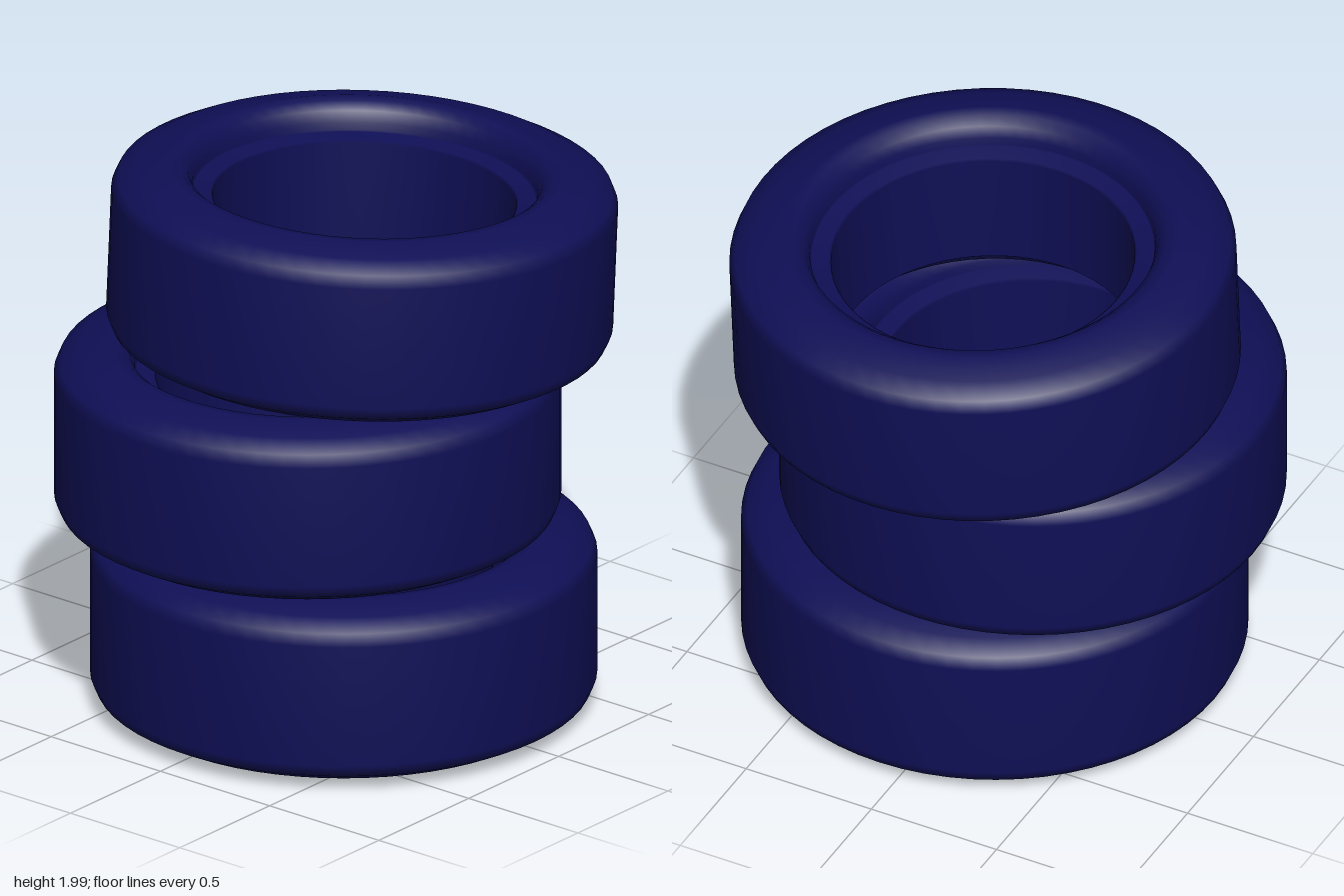
import * as THREE from 'three';

const HALF = 0.335; // half the tyre width

// Upper half of the cross-section [radius, height], from tread to inner wall
const UPPER = [
  [0.897, 0.228], [0.878, 0.272], [0.81, 0.308], [0.7, 0.333], [0.66, 0.328],
  [0.628, 0.302], [0.612, 0.262], [0.61, 0.235], [0.606, 0.23],
  [0.545, 0.222], [0.537, 0.215],
];

function tyreGeometry() {
  const lower = UPPER.map(([r, y]) => [r, -y]).reverse();
  const loop = [...lower, ...UPPER, lower[0]]; // closed ring
  return new THREE.LatheGeometry(loop.map(([r, y]) => new THREE.Vector2(r, y)), 64);
}

export function createModel() {
  const group = new THREE.Group();
  group.name = 'tyreStack';
  const rubber = new THREE.MeshStandardMaterial({ color: 0x0f0f56 });
  const geometry = tyreGeometry();

  // Three loosely stacked tyres, the top one slightly tipped
  const tyres = [
    { name: 'bottomTyre', at: [-0.06, HALF, 0.065], tilt: [0, 0] },
    { name: 'middleTyre', at: [-0.103, 1.0, -0.065], tilt: [0, 0] },
    { name: 'topTyre', at: [0.095, 1.63, 0.022], tilt: [0.02, -0.037] },
  ];
  for (const { name, at, tilt } of tyres) {
    const tyre = new THREE.Mesh(geometry, rubber);
    tyre.name = name;
    tyre.position.set(...at);
    tyre.rotation.set(tilt[0], 0, tilt[1]);
    group.add(tyre);
  }
  return group;
}
